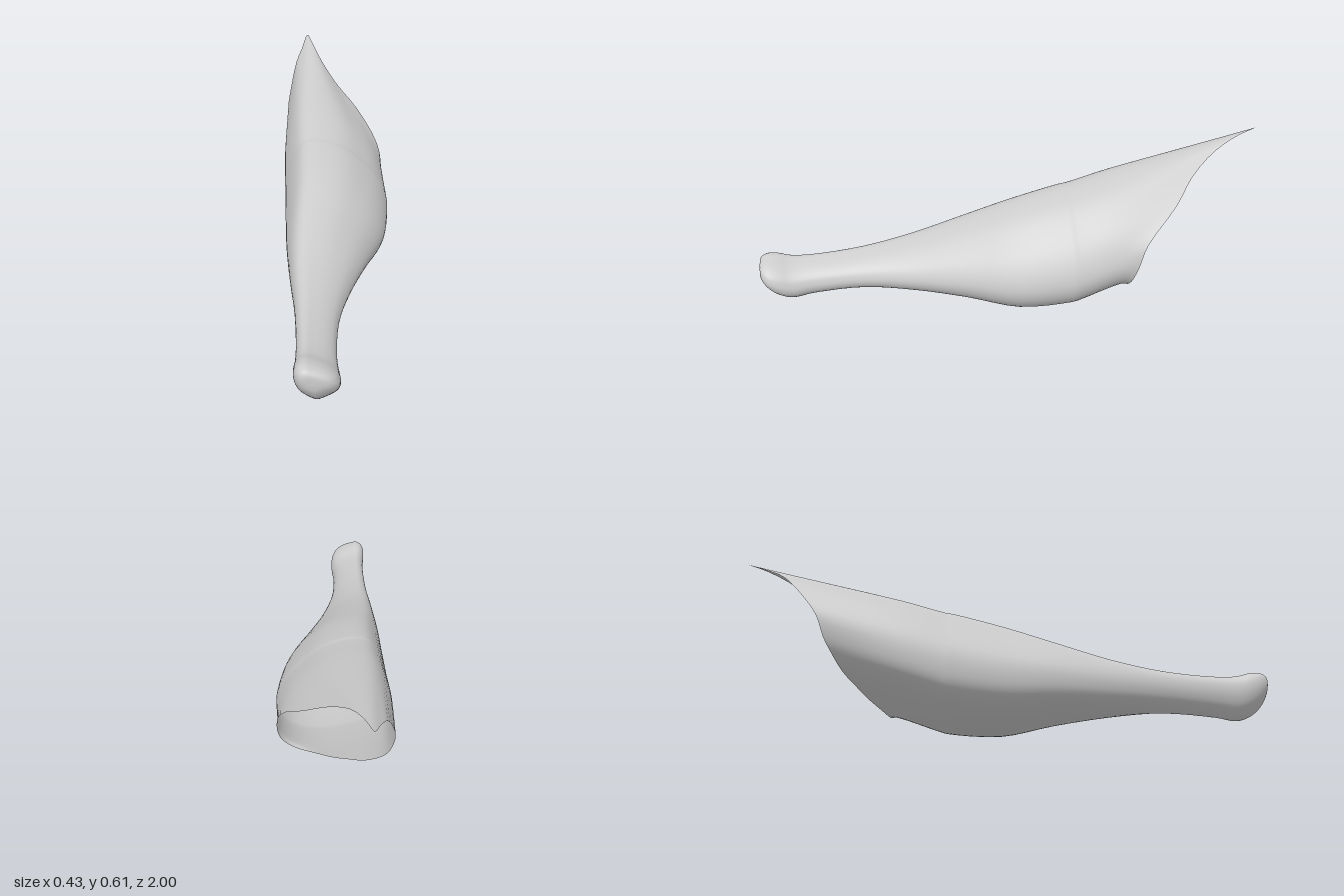
import * as THREE from 'three';

// Normalised cross-sections (0..1 across, 0..1 up), from the crest round the +x side
const narrow = [[.25, 1], [.42, .95], [.6, .88], [.78, .78], [.92, .65], [.98, .52], [1, .4], [.96, .27], [.86, .17], [.68, .07],
  [.5, 0], [.38, .05], [.26, .13], [.15, .23], [.08, .34], [.02, .5], [0, .7], [.03, .85], [.12, .96]];
const wide = [[.28, 1], [.45, .97], [.6, .9], [.75, .77], [.88, .62], [.97, .45], [1, .3], [.96, .16], [.85, .05], [.68, 0],
  [.5, .005], [.36, .04], [.2, .1], [.07, .19], [.02, .3], [0, .5], [.04, .7], [.11, .88], [.18, .97]];

// Stations from the blunt front end backwards: z, xMin, xMax, yMin, yMax
const stations = [
  [.995, -.145, -.05, .12, .195],
  [.97, -.162, -.022, .08, .208],
  [.93, -.165, -.013, .046, .207],
  [.88, -.161, -.015, .029, .194],
  [.8, -.158, -.022, .04, .19],
  [.6, -.165, -.01, .054, .205],
  [.4, -.185, .04, .045, .245],
  [.2, -.2, .112, .03, .31],
  [0, -.206, .188, .005, .38],
  [-.2, -.211, .212, .016, .432],
  [-.23, -.212, .211, .022, .436],
  [-.4, -.215, .2, .075, .48],
];

// Slanted rim of the open back end, from the pointed tip round the +x side
const rim = [[-.115, .617, -1], [-.09, .6, -.92], [-.05, .555, -.81], [.015, .485, -.705], [.1, .405, -.62], [.185, .29, -.49],
  [.2, .2, -.455], [.18, .13, -.435], [.13, .09, -.43], [.06, .098, -.47], [0, .12, -.52], [-.05, .145, -.56],
  [-.11, .18, -.61], [-.165, .23, -.65], [-.19, .28, -.68], [-.205, .36, -.71], [-.19, .45, -.77], [-.165, .54, -.85], [-.14, .58, -.92]];

// One control ring: narrow section at the front easing into the wide one
function ring([z, x0, x1, y0, y1]) {
  const k = THREE.MathUtils.smoothstep(-z, -.8, 0);
  return narrow.map(([u, v], i) => new THREE.Vector3(
    THREE.MathUtils.lerp(x0, x1, THREE.MathUtils.lerp(u, wide[i][0], k)),
    THREE.MathUtils.lerp(y0, y1, THREE.MathUtils.lerp(v, wide[i][1], k)), z));
}

// Smooth skin through the control rings
function skin(rings, stepsAlong, stepsAround) {
  const rows = (rings.length - 1) * stepsAlong;
  const cols = rings[0].length * stepsAround;
  const lines = rings[0].map((_, i) => new THREE.CatmullRomCurve3(rings.map(r => r[i])));
  const pos = [], index = [];
  for (let r = 0; r <= rows; r++) {
    const loop = new THREE.CatmullRomCurve3(lines.map(l => l.getPoint(r / rows)), true);
    for (let c = 0; c < cols; c++) {
      pos.push(...loop.getPoint(c / cols).toArray());
      if (r === rows) continue;
      const a = r * cols + c, b = r * cols + (c + 1) % cols;
      if (r > 0) index.push(a, b, b + cols);
      index.push(a, b + cols, a + cols);
    }
  }
  const geo = new THREE.BufferGeometry();
  geo.setAttribute('position', new THREE.Float32BufferAttribute(pos, 3));
  geo.setIndex(index);
  geo.computeVertexNormals();
  return geo;
}

export function createModel() {
  const group = new THREE.Group();
  const noseCentre = narrow.map(() => new THREE.Vector3(-.105, .15, 1));
  const rings = [noseCentre, ...stations.map(ring), rim.map(p => new THREE.Vector3(...p))];
  const shell = new THREE.Mesh(skin(rings, 4, 3),
    new THREE.MeshStandardMaterial({ color: 0xcccccc, side: THREE.DoubleSide }));
  shell.name = 'hollowTaperedShell';
  group.add(shell);
  return group;
}
